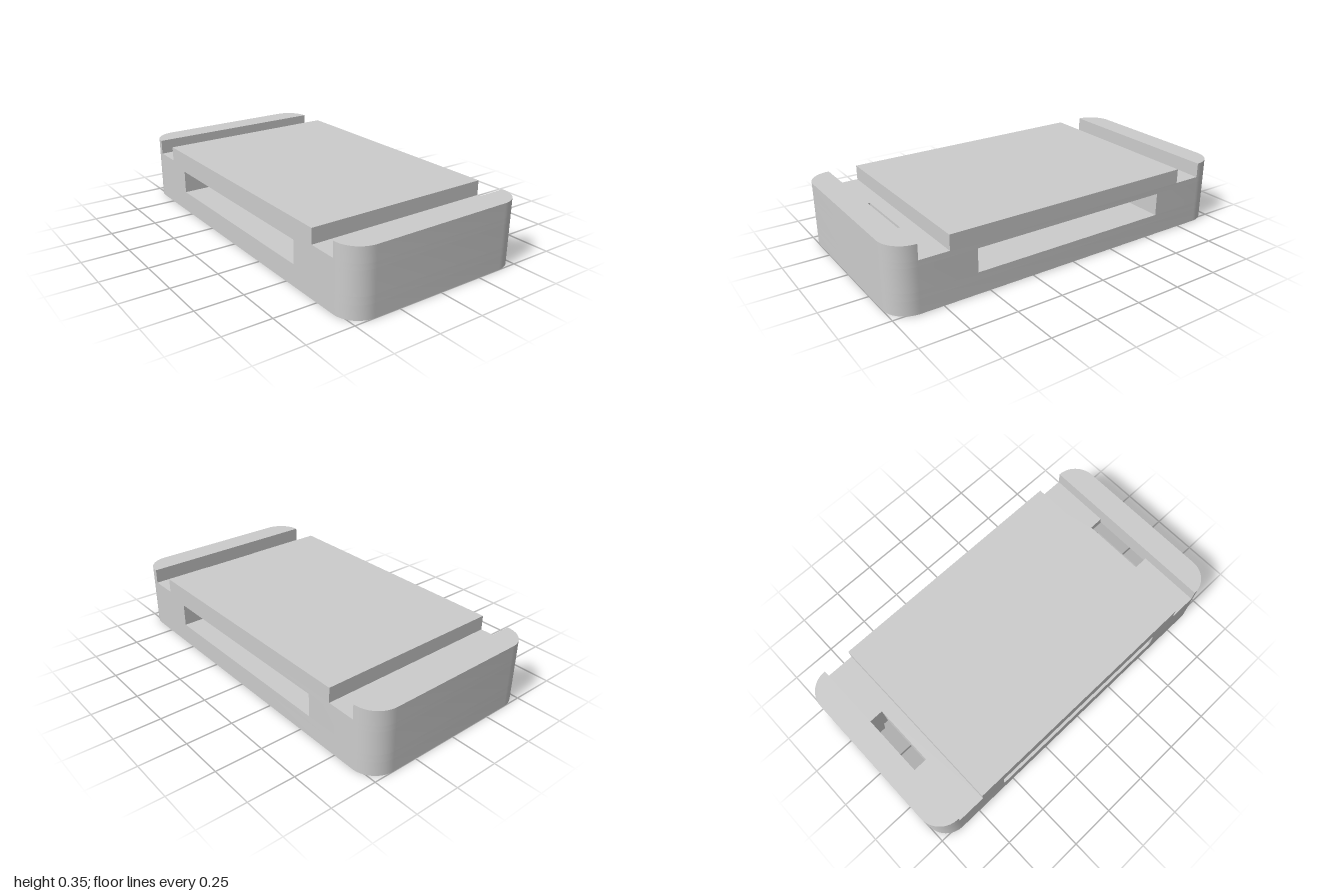
import * as THREE from 'three';
import { mergeGeometries, toCreasedNormals } from 'three/addons/utils/BufferGeometryUtils.js';

const W = 0.52, L = 1, R = 0.13;            // half width, half length, corner radius
const GROOVE_IN = 0.71, GROOVE_OUT = 0.867; // groove limits along z
const HOLE_X = 0.175, HOLE_IN = 0.787;      // strap hole half width and inner edge
const SLOT_Z = 0.565;                       // half length of the side slot
const POCKET_Z = 0.46, POCKET_R = 0.405;
const Y = { pocket: 0.075, slotLow: 0.115, slotHigh: 0.24, groove: 0.27, top: 0.35 };

// Points of an arc in the plan (x, z)
function arc(cx, cz, r, from, to, n) {
  return Array.from({ length: n + 1 }, (_, i) => {
    const a = from + ((to - from) * i) / n;
    return [cx + r * Math.cos(a), cz + r * Math.sin(a)];
  });
}

// Plan shape at one end; s = -1 mirrors it to the other end
const toShape = (pts, s = 1) => new THREE.Shape(pts.map(([x, z]) => new THREE.Vector2(x, z * s)));
const rect = (x, z0, z1) => [[-x, z0], [x, z0], [x, z1], [-x, z1]];

const roundedEnd = [
  ...arc(W - R, L - R, R, 0, Math.PI / 2, 14),
  ...arc(R - W, L - R, R, Math.PI / 2, Math.PI, 14),
];
const outline = [...roundedEnd, ...roundedEnd.map(([x, z]) => [-x, -z])];
const endBlock = (z) => (z < L - R ? [[-W, z], [W, z], ...roundedEnd] : [...roundedEnd]);

// Round pocket whose outer edge is squared off at z where the strap hole crosses it
function pocket(z) {
  const a = Math.acos(HOLE_X / POCKET_R);
  return [...arc(0, POCKET_Z, POCKET_R, Math.PI - a, 2 * Math.PI + a, 72), [HOLE_X, z], [-HOLE_X, z]];
}

const strapHole = rect(HOLE_X, HOLE_IN, GROOVE_OUT);
const grooveFloor = [
  [-W, GROOVE_IN], [W, GROOVE_IN], [W, GROOVE_OUT], [HOLE_X, GROOVE_OUT],
  [HOLE_X, HOLE_IN], [-HOLE_X, HOLE_IN], [-HOLE_X, GROOVE_OUT], [-W, GROOVE_OUT],
];

function bothEnds(pts) {
  return [1, -1].map((s) => toShape(pts, s));
}

function pierced(pts, hole) {
  const shape = toShape(pts);
  shape.holes.push(...bothEnds(hole));
  return shape;
}

function endPierced(s) {
  const shape = toShape(endBlock(SLOT_Z), s);
  shape.holes.push(toShape(strapHole, s));
  return shape;
}

// Vertical walls around a shape, without the caps
function walls(shape, y0, y1) {
  const full = new THREE.ExtrudeGeometry(shape, { depth: y1 - y0, bevelEnabled: false });
  const start = full.groups[1].start;
  const geo = new THREE.BufferGeometry();
  geo.setAttribute('position', new THREE.BufferAttribute(full.attributes.position.array.slice(start * 3), 3));
  geo.rotateX(-Math.PI / 2).translate(0, y0, 0);
  return geo;
}

// Horizontal face at height y, facing up or down
function face(shape, y, up) {
  const geo = new THREE.ShapeGeometry(shape).toNonIndexed();
  geo.deleteAttribute('uv');
  geo.deleteAttribute('normal');
  return geo.rotateX(up ? -Math.PI / 2 : Math.PI / 2).translate(0, y, 0);
}

export function createModel() {
  const group = new THREE.Group();
  const grey = new THREE.MeshStandardMaterial({ color: 0xcccccc });
  grey.name = 'light grey';

  function add(name, parts) {
    const mesh = new THREE.Mesh(toCreasedNormals(mergeGeometries(parts), 0.5), grey);
    mesh.name = name;
    group.add(mesh);
  }

  // Base with two round pockets underneath
  const baseShape = pierced(outline, pocket(GROOVE_OUT));
  add('base', [face(baseShape, 0, false), walls(baseShape, 0, Y.pocket)]);
  add('pocketCeilings', bothEnds(pocket(HOLE_IN)).map((s) => face(s, Y.pocket, false)));

  // Body below, beside and above the side slot, pierced by the strap holes
  const bodyShape = pierced(outline, strapHole);
  add('lowerBody', [walls(bodyShape, Y.pocket, Y.slotLow)]);
  add('slotEnds', [1, -1].map((s) => walls(endPierced(s), Y.slotLow, Y.slotHigh)));
  add('upperBody', [walls(bodyShape, Y.slotHigh, Y.groove)]);

  const slotShape = toShape(rect(W, -SLOT_Z, SLOT_Z));
  add('slotFloorAndCeiling', [face(slotShape, Y.slotLow, true), face(slotShape, Y.slotHigh, false)]);

  // Cross grooves, raised middle deck and rounded end rails
  add('grooveFloors', bothEnds(grooveFloor).map((s) => face(s, Y.groove, true)));

  const deck = toShape(rect(W, -GROOVE_IN, GROOVE_IN));
  add('topDeck', [walls(deck, Y.groove, Y.top), face(deck, Y.top, true)]);

  const rails = bothEnds(endBlock(GROOVE_OUT));
  add('endRails', rails.flatMap((s) => [walls(s, Y.groove, Y.top), face(s, Y.top, true)]));

  return group;
}
